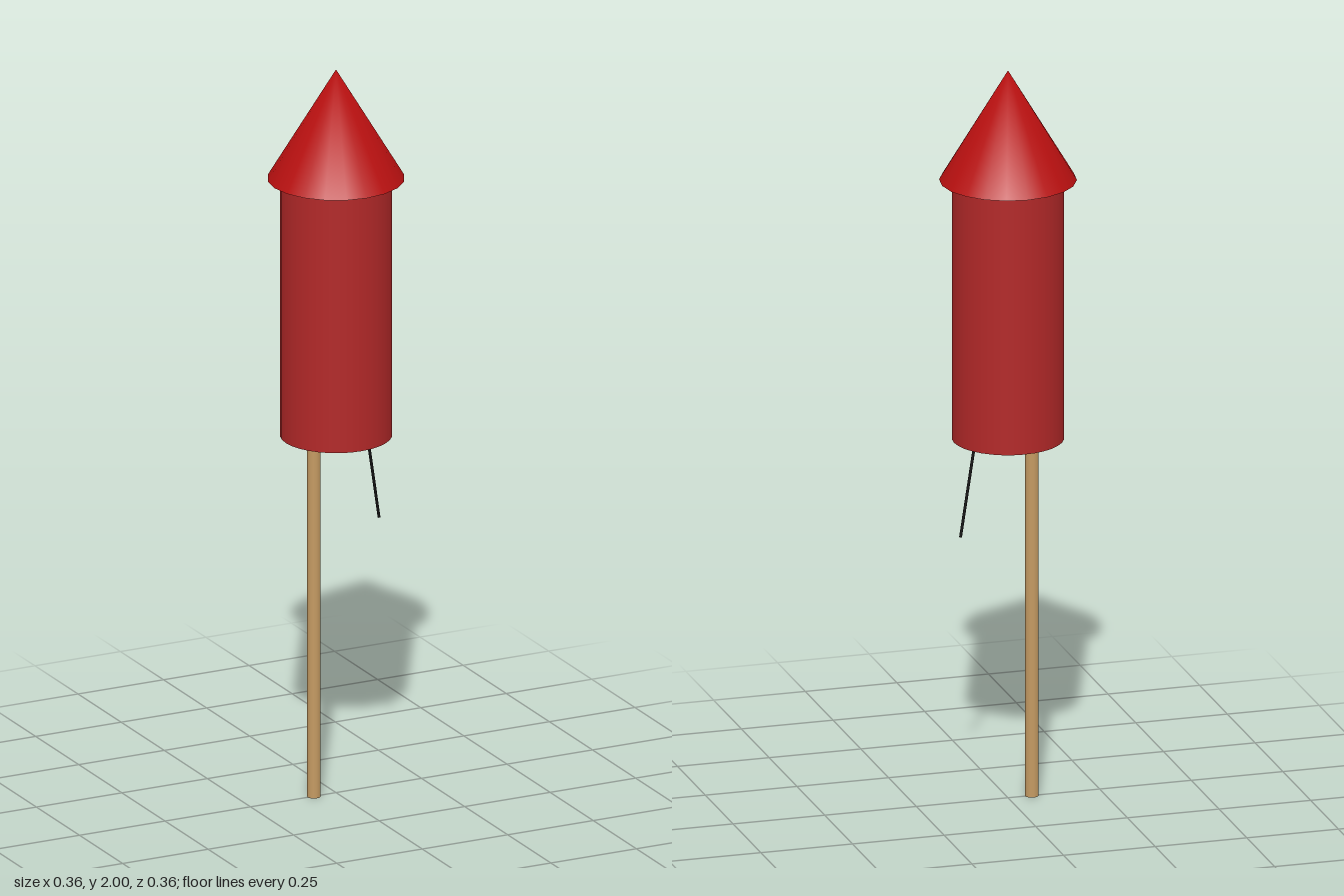
import * as THREE from 'three';

const paint = (color) => new THREE.MeshStandardMaterial({ color });

function addPart(group, name, geometry, color, x, y, z) {
  const mesh = new THREE.Mesh(geometry, paint(color));
  mesh.name = name;
  mesh.position.set(x, y, z);
  group.add(mesh);
  return mesh;
}

// Cone whose normals blend to straight up at the tip, for a soft domed shading
function softCone(radius, height, sides) {
  const cone = new THREE.ConeGeometry(radius, height, sides);
  const { position, normal } = cone.attributes;
  for (let i = 0; i < position.count; i++) {
    if (position.getY(i) > height / 2 - 1e-4) normal.setXYZ(i, 0, 1, 0);
  }
  return cone;
}

export function createModel() {
  const rocket = new THREE.Group();
  rocket.name = 'fireworkRocket';

  // Nose cone overhanging the paper tube
  addPart(rocket, 'noseCone', softCone(0.18, 0.3, 20), 0xb81010, 0, 1.85, 0);
  addPart(rocket, 'body', new THREE.CylinderGeometry(0.147, 0.147, 0.71, 32), 0xb22828, 0, 1.345, 0);

  // Guide stick, offset from the centre
  addPart(rocket, 'stick', new THREE.CylinderGeometry(0.018, 0.018, 1, 12), 0xc49a62, -0.065, 0.5, 0);

  // Thin fuse slanting out of the base
  const top = new THREE.Vector3(0.088, 1.0, 0);
  const tip = new THREE.Vector3(0.135, 0.735, -0.018);
  const along = top.clone().sub(tip);
  const middle = top.clone().add(tip).multiplyScalar(0.5);
  const fuse = addPart(rocket, 'fuse', new THREE.CylinderGeometry(0.004, 0.004, along.length(), 8),
    0x111111, middle.x, middle.y, middle.z);
  fuse.quaternion.setFromUnitVectors(new THREE.Vector3(0, 1, 0), along.normalize());

  return rocket;
}
